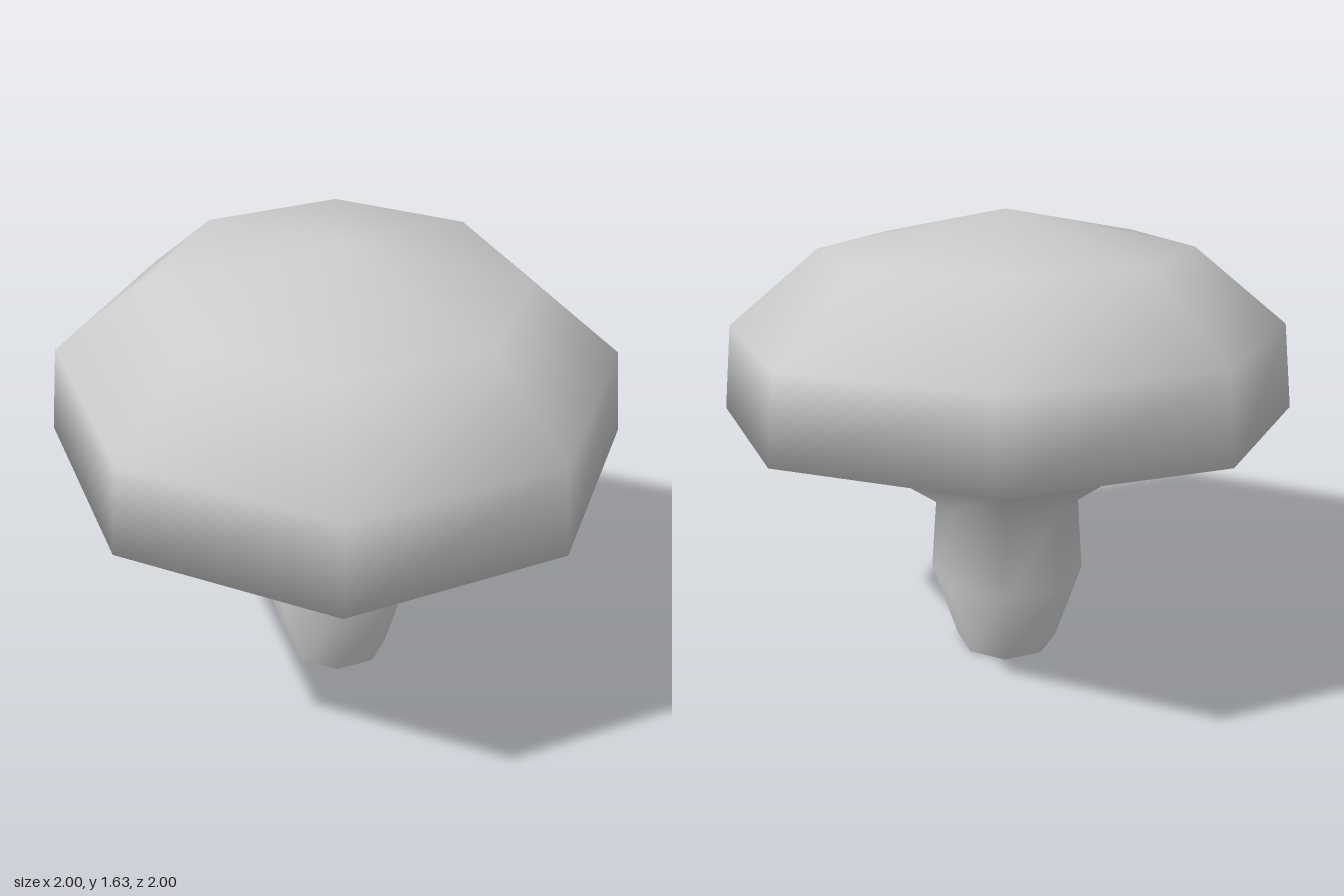
import * as THREE from 'three';

const SIDES = 8;
const TWIST = 0.1; // radians the octagon is turned about y

// Cross-sections, base to top: [radius, height, sideways lean, tilt]
const RINGS = [
  [0.187, 0, 0.01, 0], // foot of stem
  [0.279, 0.297, 0.017, 0.05], // stem bulge
  [0.257, 0.6, 0.025, 0.088], // stem top
  [0.508, 0.768, 0.005, 0.092], // underside of cap
  [1.005, 0.928, -0.002, 0.092], // rim
  [0.97, 1.232, -0.015, 0.09], // cap shoulder
  [0.648, 1.5, -0.035, 0.094], // cap crown
];
const APEX = [-0.04, 1.635, 0.04];

// Corners of one octagonal ring, tilted up towards +x and -z
function ringPoints([radius, height, lean, tilt]) {
  return Array.from({ length: SIDES }, (_, i) => {
    const a = TWIST + (i / SIDES) * Math.PI * 2;
    const x = radius * Math.cos(a);
    const z = radius * Math.sin(a);
    return [x + lean, height + tilt * (x - z), z - lean];
  });
}

function smoothGeometry(points, index) {
  const geometry = new THREE.BufferGeometry();
  geometry.setAttribute('position', new THREE.Float32BufferAttribute(points.flat(), 3));
  geometry.setIndex(index);
  geometry.computeVertexNormals();
  return geometry;
}

// Stem and cap as one continuous smooth skin
function bodyGeometry() {
  const points = RINGS.flatMap(ringPoints);
  const index = [];
  for (let r = 0; r < RINGS.length - 1; r++) {
    for (let i = 0; i < SIDES; i++) {
      const a = r * SIDES + i;
      const b = r * SIDES + ((i + 1) % SIDES);
      index.push(a, a + SIDES, b, b, a + SIDES, b + SIDES);
    }
  }
  // Fan closing the crown
  const last = (RINGS.length - 1) * SIDES;
  const apex = points.push(APEX) - 1;
  for (let i = 0; i < SIDES; i++) index.push(last + i, apex, last + ((i + 1) % SIDES));
  return smoothGeometry(points, index);
}

// Flat underside of the stem
function footGeometry() {
  const index = [];
  for (let i = 1; i < SIDES - 1; i++) index.push(0, i, i + 1);
  return smoothGeometry(ringPoints(RINGS[0]), index);
}

export function createModel() {
  const grey = new THREE.MeshStandardMaterial({ color: 0xcccccc });
  grey.name = 'plain grey';

  const group = new THREE.Group();
  group.name = 'mushroom';
  const add = (name, geometry) => {
    const mesh = new THREE.Mesh(geometry, grey);
    mesh.name = name;
    group.add(mesh);
  };
  add('stemAndCap', bodyGeometry());
  add('stemFoot', footGeometry());
  return group;
}
